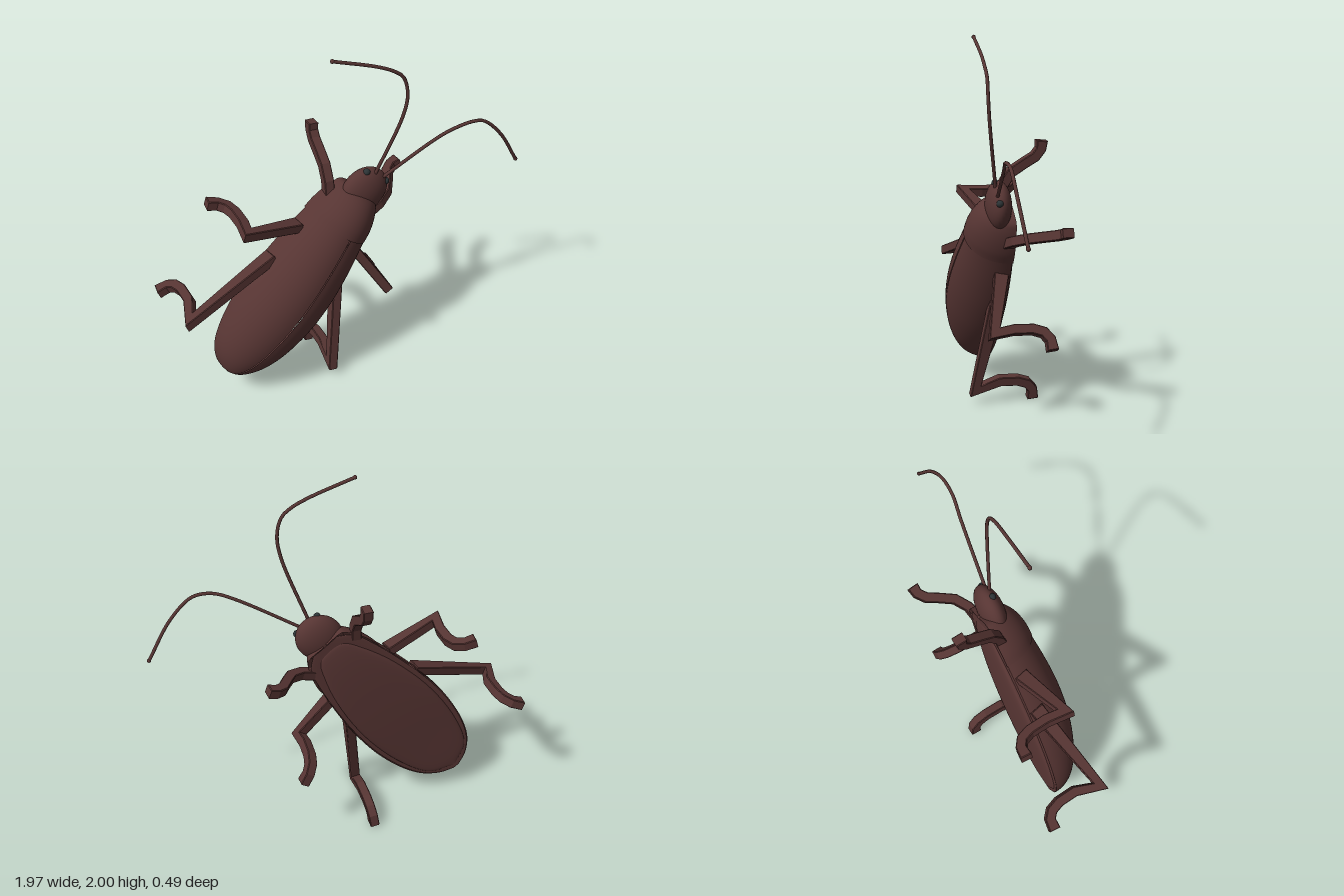
import * as THREE from 'three';

const shellMat = new THREE.MeshStandardMaterial({ color: 0x573533, side: THREE.DoubleSide });
const eyeMat = new THREE.MeshStandardMaterial({ color: 0x2c3436 });

function add(parent, name, geometry, material = shellMat) {
  const mesh = new THREE.Mesh(geometry, material);
  mesh.name = name;
  parent.add(mesh);
  return mesh;
}

// Skin arched cross-sections; stations are [y, half width, crown z].
// a0..a1 is the swept part of the arch, power < 1 flattens the crown.
function archLoft(stations, base, a0 = 0, a1 = Math.PI, power = 1, rows = 36, cols = 28) {
  const curve = new THREE.CatmullRomCurve3(stations.map(s => new THREE.Vector3(...s)));
  const pos = [], idx = [];
  for (let i = 0; i <= rows; i++) {
    const s = curve.getPoint(i / rows);
    for (let j = 0; j <= cols; j++) {
      const a = a0 + (a1 - a0) * j / cols;
      pos.push(s.y * Math.cos(a), s.x, base + (s.z - base) * Math.pow(Math.max(0, Math.sin(a)), power));
      if (i < rows && j < cols) {
        const k = i * (cols + 1) + j, n = k + cols + 1;
        idx.push(k, n, k + 1, k + 1, n, n + 1);
      }
    }
  }
  // Winding follows whether the arch bulges to the front or the back
  if (stations[2][2] > base) for (let i = 0; i < idx.length; i += 3) [idx[i], idx[i + 1]] = [idx[i + 1], idx[i]];
  const g = new THREE.BufferGeometry();
  g.setAttribute('position', new THREE.Float32BufferAttribute(pos, 3));
  g.setIndex(idx);
  g.computeVertexNormals();
  return g;
}

// Leg: a mitred ribbon along a (distance, z) path, extruded to a square section
function legGeometry(path, femur) {
  const pts = path.map(p => new THREE.Vector2(...p));
  const left = [], right = [];
  pts.forEach((p, i) => {
    const d1 = pts[Math.max(i, 1)].clone().sub(pts[Math.max(i, 1) - 1]).normalize();
    const m = Math.min(i + 1, pts.length - 1);
    const d2 = pts[m].clone().sub(pts[m - 1]).normalize();
    const n1 = new THREE.Vector2(-d1.y, d1.x);
    const n = n1.clone().add(new THREE.Vector2(-d2.y, d2.x)).normalize();
    const half = i === 0 ? femur : i === pts.length - 1 ? 0.03 : 0.026;
    n.multiplyScalar(half / Math.max(0.6, n.dot(n1)));
    left.push(p.clone().add(n));
    right.unshift(p.clone().sub(n));
  });
  const g = new THREE.ExtrudeGeometry(new THREE.Shape([...left, ...right]), {
    depth: 0.044, bevelEnabled: true, bevelSize: 0.004, bevelThickness: 0.004, bevelOffset: -0.004, bevelSegments: 1
  });
  return g.translate(0, 0, -0.022);
}

const frontPath = [[0, 0.02], [0.12, -0.005], [0.19, -0.05], [0.235, -0.12], [0.27, -0.18], [0.31, -0.21], [0.355, -0.215]];
const midPath = [[0, 0.03], [0.315, 0.105], [0.3, 0], [0.305, -0.1], [0.325, -0.155], [0.365, -0.185], [0.425, -0.19]];
const hindPath = [[0, 0.03], [0.525, 0.135], [0.48, 0], [0.485, -0.1], [0.505, -0.155], [0.54, -0.185], [0.6, -0.19]];

// name, path, femur half thickness, base xy, tip xy
const legs = [
  ['frontLegRight', frontPath, 0.03, [-0.09, 1.1], [-0.075, 1.46]],
  ['frontLegLeft', frontPath, 0.03, [0.1, 0.945], [0.43, 1.065]],
  ['middleLegRight', midPath, 0.038, [-0.27, 1.02], [-0.68, 1.14]],
  ['middleLegLeft', midPath, 0.038, [0.04, 0.77], [0.26, 0.405]],
  ['hindLegRight', hindPath, 0.04, [-0.42, 0.87], [-0.98, 0.665]],
  ['hindLegLeft', hindPath, 0.04, [-0.06, 0.6], [-0.143, 0.01]]
];

const antennae = {
  antennaRight: [[0.135, 1.23, 0.08], [0.26, 1.6, 0.14], [0.275, 1.72, 0.15], [0.25, 1.82, 0.15], [0.2, 1.865, 0.15], [0.11, 1.91, 0.145], [-0.12, 1.99, 0.135]],
  antennaLeft: [[0.17, 1.205, 0.08], [0.5, 1.41, 0.125], [0.6, 1.452, 0.145], [0.67, 1.46, 0.15], [0.73, 1.445, 0.15], [0.84, 1.335, 0.148], [0.965, 1.13, 0.13]]
};

export function createModel() {
  const root = new THREE.Group();
  root.name = 'beetle';

  // Body, built along local y from the tail, then tilted
  const body = new THREE.Group();
  body.name = 'body';
  body.position.set(-0.7, 0.15, 0);
  body.rotation.z = -0.67;
  root.add(body);

  const wing = [[0, 0.025, 0.03], [0.035, 0.09, 0.09], [0.12, 0.165, 0.15], [0.25, 0.217, 0.2], [0.45, 0.25, 0.238],
    [0.65, 0.25, 0.246], [0.85, 0.228, 0.23], [1.08, 0.185, 0.195]];
  for (const [name, a0, a1, dx] of [['wingCaseLeft', 0, Math.PI / 2, 0.003], ['wingCaseRight', Math.PI / 2, Math.PI, -0.003]]) {
    add(body, name, archLoft(wing, -0.015, a0, a1, 1, 36, 16)).position.x = dx;
  }

  // Neck shield overlapping the wing cases
  add(body, 'neckShield', archLoft([[1.04, 0.199, 0.208], [1.1, 0.19, 0.202], [1.17, 0.168, 0.183],
    [1.23, 0.138, 0.15], [1.26, 0.11, 0.115], [1.262, 0.01, 0.05]], -0.02));

  // Underside: flat rim with a raised belly plate
  const rim = [...wing.map(([y, w]) => [y, w * 0.99, -0.02]), [1.2, 0.145, -0.02], [1.26, 0.08, -0.02]];
  add(body, 'undersideRim', archLoft(rim, -0.012, 0, Math.PI, 0.4));
  add(body, 'belly', archLoft([[0.03, 0.02, -0.025], [0.1, 0.13, -0.03], [0.3, 0.2, -0.036], [0.6, 0.225, -0.045],
    [0.9, 0.19, -0.046], [1.1, 0.13, -0.038], [1.2, 0.08, -0.026], [1.23, 0.01, -0.015]], -0.01, 0, Math.PI, 0.4));

  // Head and eyes
  const head = add(body, 'head', new THREE.SphereGeometry(1, 32, 20));
  head.scale.set(0.125, 0.135, 0.066);
  head.position.set(0, 1.275, 0.058);
  for (const side of [-1, 1]) {
    const eye = add(body, side > 0 ? 'eyeLeft' : 'eyeRight', new THREE.SphereGeometry(0.019, 14, 10), eyeMat);
    eye.position.set(side * 0.07, 1.372, 0.075);
  }

  // Legs, each lying in its own plane
  const zAxis = new THREE.Vector3(0, 0, 1);
  for (const [name, path, femur, base, tip] of legs) {
    const leg = add(root, name, legGeometry(path, femur));
    const dir = new THREE.Vector3(tip[0] - base[0], tip[1] - base[1], 0).normalize();
    leg.quaternion.setFromRotationMatrix(new THREE.Matrix4().makeBasis(dir, zAxis, dir.clone().cross(zAxis)));
    leg.position.set(base[0], base[1], 0);
  }

  // Antennae with small rounded tips
  for (const [name, points] of Object.entries(antennae)) {
    const curve = new THREE.CatmullRomCurve3(points.map(p => new THREE.Vector3(...p)));
    add(root, name, new THREE.TubeGeometry(curve, 40, 0.009, 8));
    add(root, name + 'Tip', new THREE.SphereGeometry(0.011, 10, 8)).position.copy(curve.getPoint(1));
  }
  return root;
}
